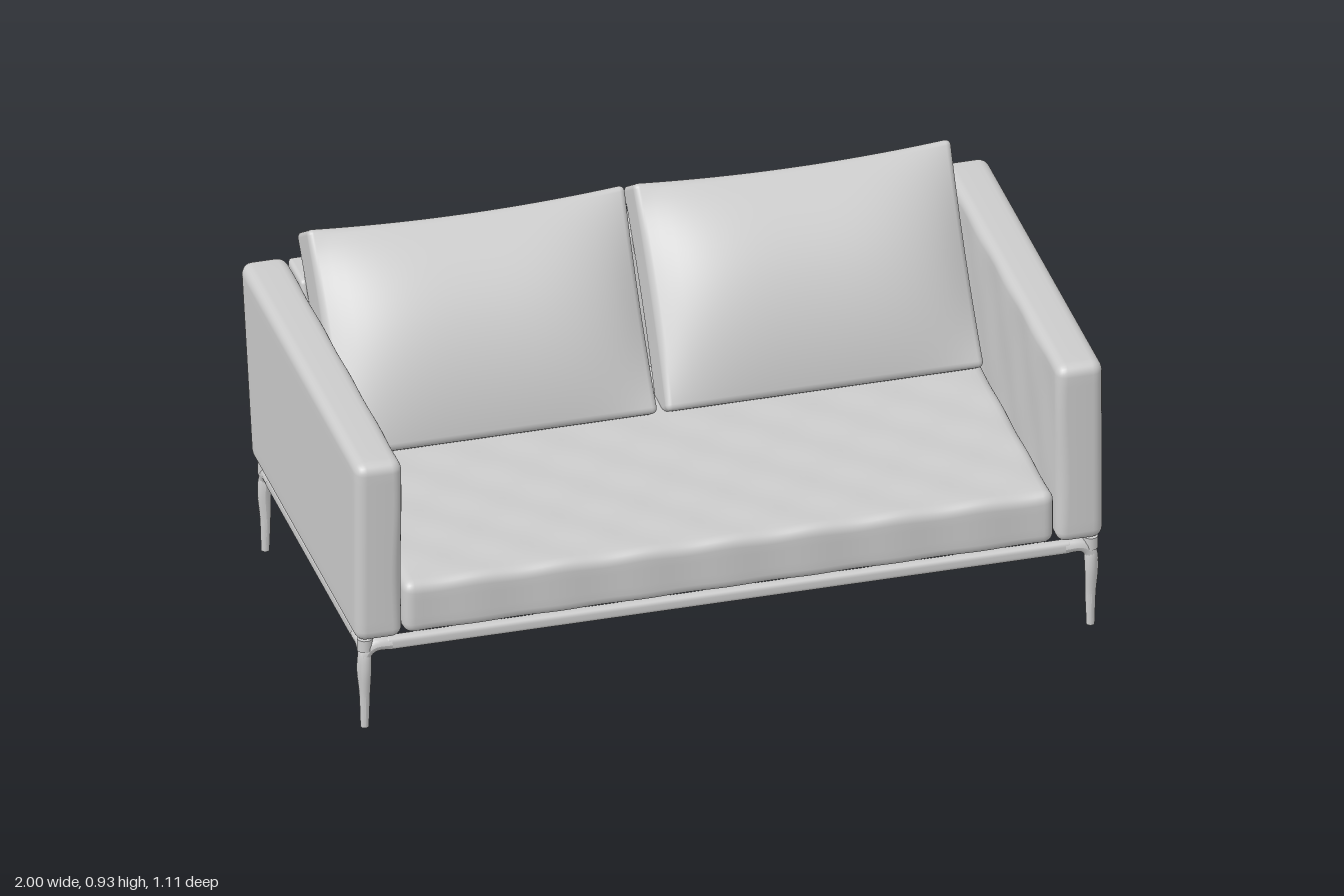
import * as THREE from 'three';
import { mergeVertices } from 'three/addons/utils/BufferGeometryUtils.js';

const material = new THREE.MeshStandardMaterial({ color: 0xcccccc, roughness: 0.8 });

function addMesh(parent, name, geometry) {
  const mesh = new THREE.Mesh(geometry, material);
  mesh.name = name;
  parent.add(mesh);
  return mesh;
}

// Smooth box with rounded edges; each vertex can then be moved by a deform rule.
function softBox(size, r, segs, deform) {
  const geo = new THREE.BoxGeometry(2, 2, 2, ...segs);
  const pos = geo.attributes.position;
  const half = size.map((s) => s / 2);
  const p = new THREE.Vector3(), inner = new THREE.Vector3();
  for (let i = 0; i < pos.count; i++) {
    p.fromBufferAttribute(pos, i);
    for (let a = 0; a < 3; a++) {
      // three grid rows are packed into every rounded edge
      const n = segs[a], k = Math.round(((p.getComponent(a) + 1) / 2) * n), h = half[a];
      let c;
      if (k < 3) c = -h + (r * k) / 3;
      else if (k > n - 3) c = h - (r * (n - k)) / 3;
      else c = -h + r + ((2 * (h - r)) * (k - 3)) / (n - 6);
      p.setComponent(a, c);
      inner.setComponent(a, THREE.MathUtils.clamp(c, -h + r, h - r));
    }
    p.sub(inner).setLength(r).add(inner);
    if (deform) deform(p);
    pos.setXYZ(i, p.x, p.y, p.z);
  }
  geo.deleteAttribute('normal');
  geo.deleteAttribute('uv');
  const merged = mergeVertices(geo, 1e-5);
  merged.computeVertexNormals();
  return merged;
}

// Tube whose radius follows a function of the length along the path.
function taperedTube(points, radiusAt) {
  const curve = new THREE.CatmullRomCurve3(points.map((q) => new THREE.Vector3(...q)));
  const rings = 28, sides = 14;
  const geo = new THREE.TubeGeometry(curve, rings, 1, sides);
  const pos = geo.attributes.position, p = new THREE.Vector3();
  for (let i = 0; i < pos.count; i++) {
    const t = Math.floor(i / (sides + 1)) / rings;
    const c = curve.getPointAt(t);
    p.fromBufferAttribute(pos, i).sub(c).multiplyScalar(radiusAt(t)).add(c);
    pos.setXYZ(i, p.x, p.y, p.z);
  }
  geo.computeVertexNormals();
  return geo;
}

const BASE = 0.262, TOP = 0.785;
// z of the raked rear surface at a given height
const rearZ = (y) => -0.45 - (0.11 * (y - BASE)) / (TOP - BASE);

export function createModel() {
  const sofa = new THREE.Group();
  sofa.name = 'sofa';

  // Arms: rounded slabs with a raked rear edge and a slightly wavy inner side
  for (const side of [1, -1]) {
    const arm = softBox([0.126, TOP - BASE, 1], 0.03, [8, 22, 30], (p) => {
      p.y += (BASE + TOP) / 2;
      const t = p.z + 0.5;
      p.z = THREE.MathUtils.lerp(rearZ(p.y), 0.56, t);
      if (p.x < -0.03) p.x += 0.004 * Math.sin(p.z * 24) * Math.cos(p.y * 14);
      p.x = side * (p.x + 0.937);
    });
    if (side < 0) {
      // mirrored copy: restore the face winding
      const idx = arm.index.array;
      for (let i = 0; i < idx.length; i += 3) [idx[i], idx[i + 1]] = [idx[i + 1], idx[i]];
      arm.computeVertexNormals();
    }
    addMesh(sofa, side > 0 ? 'leftArm' : 'rightArm', arm);
  }

  // Backrest: crisp slab leaning back with the arms
  addMesh(sofa, 'backrest', softBox([1.742, 0.512, 0.13], 0.012, [12, 12, 8], (p) => {
    p.y += BASE + 0.256;
    p.z += rearZ(p.y) + 0.067;
  }));

  // Seat: thick pad with soft quilted ripples
  addMesh(sofa, 'seat', softBox([1.74, 0.15, 0.97], 0.03, [90, 10, 44], (p) => {
    const front = THREE.MathUtils.smoothstep(p.z, -0.2, 0.2);
    const ripple = Math.cos(p.x * 28) * Math.cos(p.z * 26);
    if (p.y > 0.02) p.y += 0.003 * ripple - 0.004 * front + 0.006;
    if (p.z > 0.45) p.z += 0.002 * Math.cos(p.x * 28);
    p.y += BASE + 0.075;
    p.z += 0.068;
  }));

  // Back cushions: bulging pillows with hollowed edges, leaning on the backrest
  for (const side of [1, -1]) {
    const w = 0.85, h = 0.594;
    const geo = softBox([w, h, 0.13], 0.016, [34, 26, 10], (p) => {
      const u = p.x / (w / 2), v = p.y / (h / 2);
      const puff = (1 - u * u * u * u) * (1 - v * v);
      p.z += (p.z > 0 ? 1.15 : 0.6) * p.z * puff;
      p.y -= v > 0 ? 0.016 * (1 - u * u) * v : 0;
      p.x *= 1 - 0.012 * (1 - v * v);
    });
    const cushion = addMesh(sofa, side > 0 ? 'leftBackCushion' : 'rightBackCushion', geo);
    cushion.position.set(side * 0.436, 0.655, -0.295);
    cushion.rotation.x = -0.569;
  }

  // Base panel under the seat
  const panel = addMesh(sofa, 'basePanel', new THREE.BoxGeometry(1.7, 0.016, 0.84));
  panel.position.set(0, 0.256, 0.05);

  // Frame rails
  const frame = new THREE.Group();
  frame.name = 'frame';
  sofa.add(frame);
  const railY = 0.239, legX = 0.97, legZ = [0.53, -0.41];
  for (const z of legZ) {
    const rail = addMesh(frame, z > 0 ? 'frontRail' : 'rearRail',
      softBox([1.84, 0.036, 0.032], 0.012, [8, 8, 8]));
    rail.position.set(0, railY, z);
  }
  for (const side of [1, -1]) {
    const rail = addMesh(frame, side > 0 ? 'leftRail' : 'rightRail',
      softBox([0.032, 0.038, 0.84], 0.012, [8, 8, 8]));
    rail.position.set(side * legX, railY, 0.06);
  }

  // Legs: tapered posts whose heads sweep into both neighbouring rails
  const radius = (t) => THREE.MathUtils.lerp(0.011, 0.0185, Math.min(1, t * 1.3));
  for (const side of [1, -1]) {
    for (const z of legZ) {
      const leg = new THREE.Group();
      leg.name = (z > 0 ? 'front' : 'rear') + (side > 0 ? 'Left' : 'Right') + 'Leg';
      frame.add(leg);
      const x = side * legX, inX = -side, inZ = -Math.sign(z);
      for (const [dx, dz, name] of [[inX, 0, 'crossSweep'], [0, inZ, 'sideSweep']]) {
        addMesh(leg, name, taperedTube([
          [x, 0, z], [x, 0.09, z], [x - dx * 0.004, 0.18, z - dz * 0.004],
          [x + dx * 0.004, 0.222, z + dz * 0.004],
          [x + dx * 0.025, railY - 0.001, z + dz * 0.025], [x + dx * 0.07, railY, z + dz * 0.07],
        ], radius));
      }
      const foot = addMesh(leg, 'foot', new THREE.CylinderGeometry(0.011, 0.011, 0.004, 14));
      foot.position.set(x, 0.002, z);
      const head = addMesh(leg, 'head', new THREE.CylinderGeometry(0.02, 0.02, 0.034, 16));
      head.position.set(x, 0.245, z);
    }
  }
  return sofa;
}
